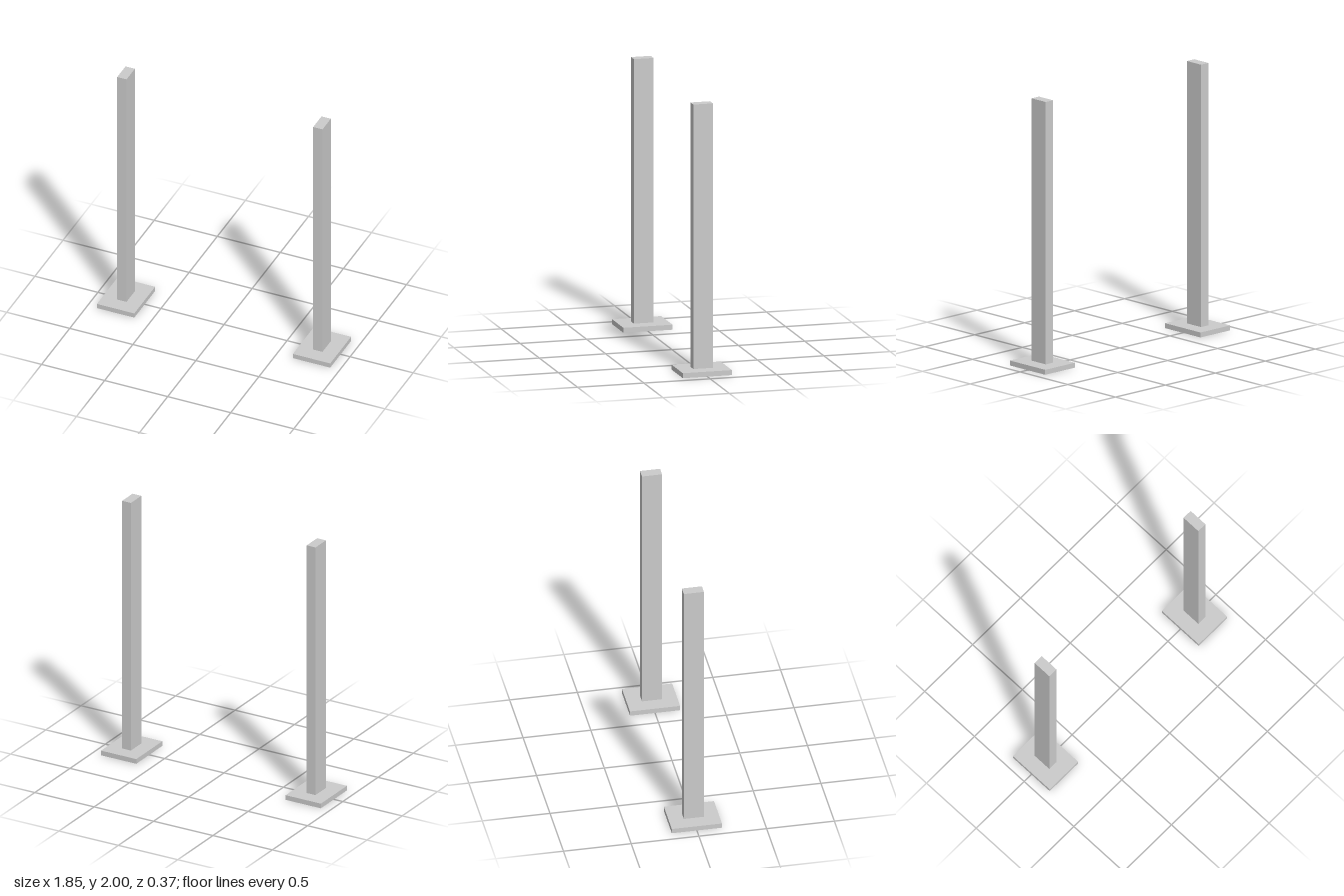
import * as THREE from 'three';

export function createModel() {
  const group = new THREE.Group();
  const material = new THREE.MeshStandardMaterial({ color: 0xcccccc, flatShading: true });
  const height = 2, plate = 0.037, spacing = 0.777;

  // Box standing on the given height
  const addBox = (parent, name, w, h, d, bottom) => {
    const mesh = new THREE.Mesh(new THREE.BoxGeometry(w, h, d), material);
    mesh.name = name;
    mesh.position.y = bottom + h / 2;
    parent.add(mesh);
  };

  // Two matching posts, each on a flat base plate
  for (const [side, sign] of [['left', 1], ['right', -1]]) {
    const stand = new THREE.Group();
    stand.name = `${side}Stand`;
    stand.position.x = sign * spacing;
    addBox(stand, `${side}BasePlate`, 0.296, plate, 0.37, 0);
    addBox(stand, `${side}Post`, 0.074, height - plate, 0.148, plate);
    group.add(stand);
  }
  return group;
}
